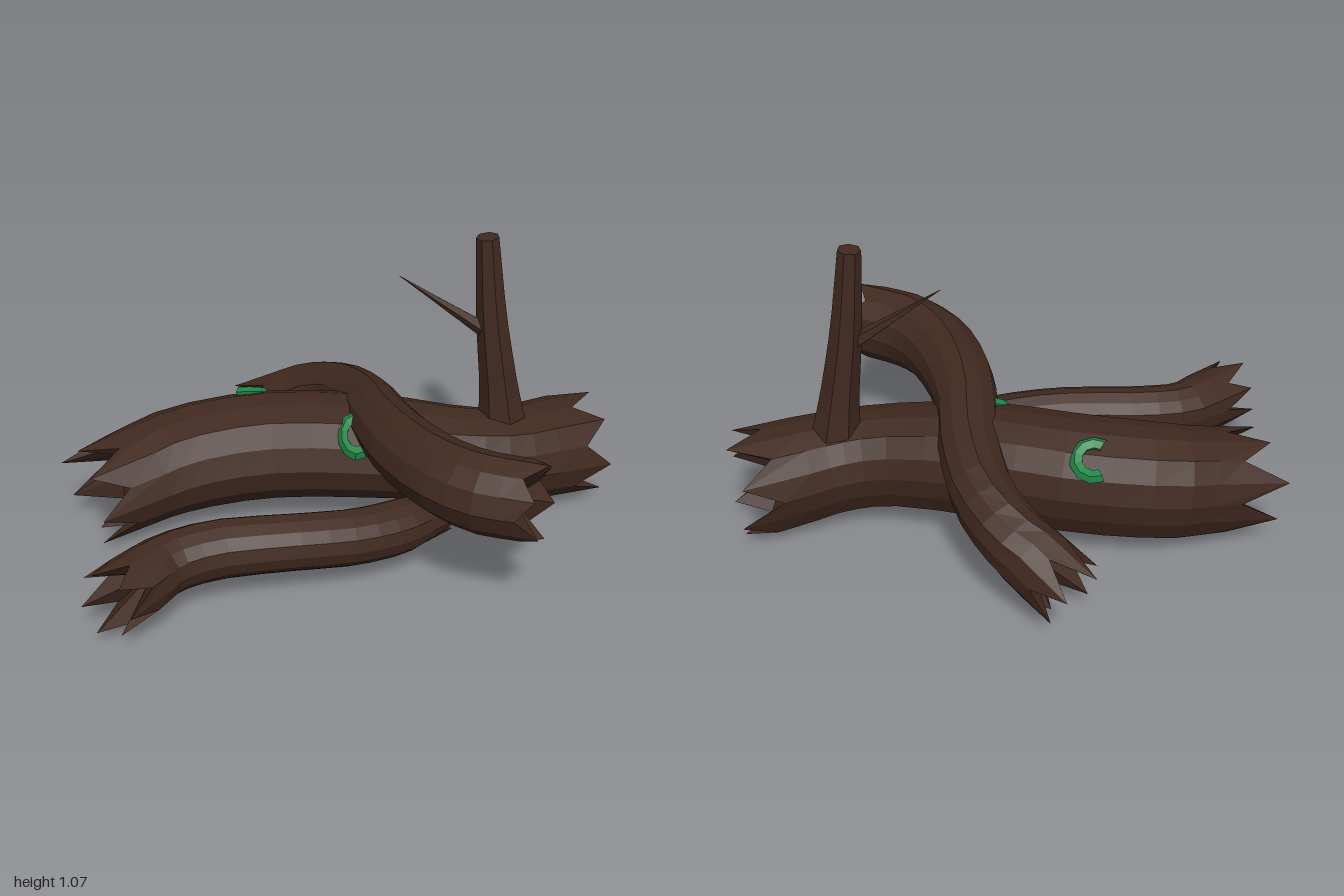
import * as THREE from 'three';

const bark = new THREE.MeshStandardMaterial({ color: 0x40291f, flatShading: true });
bark.name = 'bark';
const moss = new THREE.MeshStandardMaterial({ color: 0x1e8546, flatShading: true });
moss.name = 'moss green';

function seeded(seed) {
  return () => {
    seed = (seed * 16807) % 2147483647;
    return seed / 2147483647;
  };
}

const vec = (p) => new THREE.Vector3(...p);

// Faceted log swept along a curve. Ends are splintered by pushing rim corners outward;
// the inside is either a through hollow or a sunken point.
function log(name, { points, radii, sides = 12, rings = 14, startTeeth = 0, endTeeth = 0,
  startDent = 0, endDent = 0, hollow = 0, rough = 0.05, up = [0, 1, 0], seed = 7 }) {
  const rnd = seeded(seed);
  const curve = new THREE.CatmullRomCurve3(points.map(vec));
  const ref = vec(up);
  const bump = [], teethA = [], teethB = [];
  for (let i = 0; i < sides; i++) {
    bump.push(1 + (rnd() - 0.5) * 2 * rough);
    const tall = i % 2 === 1;
    teethA.push(tall ? 0.65 + 0.35 * rnd() : 0.3 * rnd());
    teethB.push(tall ? 0.65 + 0.35 * rnd() : 0.3 * rnd());
  }
  const radiusAt = (t) => {
    const f = t * (radii.length - 1), k = Math.min(Math.floor(f), radii.length - 2);
    return THREE.MathUtils.lerp(radii[k], radii[k + 1], f - k);
  };

  // Each row: curve position, radius scale, tooth length and set, shift along the curve
  const row = (t, scale, jag = 0, teeth = teethA, shift = 0) => ({ t, scale, jag, teeth, shift });
  const rows = [];
  for (let r = 0; r <= rings; r++) {
    const jag = r === 0 ? -startTeeth : r === rings ? endTeeth : 0;
    rows.push(row(r / rings, 1, jag, r === 0 ? teethA : teethB));
  }
  if (hollow) {
    for (let r = rings; r >= 0; r--) rows.push(row(r / rings, hollow));
    rows.push(rows[0]);
  } else {
    rows.unshift(row(0, 0, 0, teethA, startDent));
    rows.push(row(1, 0, 0, teethB, -endDent));
  }

  const pos = [], index = [];
  rows.forEach(({ t, scale, jag, teeth, shift }) => {
    const c = curve.getPoint(t), T = curve.getTangent(t);
    const S = new THREE.Vector3().crossVectors(ref, T).normalize();
    const N = new THREE.Vector3().crossVectors(T, S);
    for (let i = 0; i < sides; i++) {
      const a = (i / sides) * Math.PI * 2, rad = radiusAt(t) * scale * bump[i];
      const p = c.clone()
        .addScaledVector(S, Math.cos(a) * rad)
        .addScaledVector(N, Math.sin(a) * rad)
        .addScaledVector(T, jag * teeth[i] + shift);
      pos.push(p.x, p.y, p.z);
    }
  });
  for (let r = 0; r < rows.length - 1; r++) {
    for (let i = 0; i < sides; i++) {
      const j = (i + 1) % sides;
      const a = r * sides + i, b = r * sides + j, c = a + sides, d = b + sides;
      if (rows[r].scale > 0) index.push(a, b, c);
      if (rows[r + 1].scale > 0) index.push(b, d, c);
    }
  }
  let geo = new THREE.BufferGeometry();
  geo.setAttribute('position', new THREE.Float32BufferAttribute(pos, 3));
  geo.setIndex(index);
  geo = geo.toNonIndexed();
  geo.computeVertexNormals();
  const mesh = new THREE.Mesh(geo, bark);
  mesh.name = name;
  return mesh;
}

// C-shaped curl of moss; middle is the angle of the closed side
function mossCurl(name, position, tilt, middle, stretch) {
  const arc = 4.1;
  const geo = new THREE.TorusGeometry(0.055, 0.022, 5, 7, arc);
  geo.rotateZ(middle - arc / 2);
  geo.scale(...stretch);
  const mesh = new THREE.Mesh(geo, moss);
  mesh.name = name;
  mesh.position.set(...position);
  mesh.rotation.x = tilt;
  return mesh;
}

export function createModel() {
  const model = new THREE.Group();
  model.name = 'fallenLogs';

  // Large hollow log lying along x
  model.add(log('mainLog', {
    points: [[-0.77, 0.195, -0.03], [-0.6, 0.225, -0.1], [-0.3, 0.255, -0.135], [0.05, 0.265, -0.095],
      [0.4, 0.235, -0.06], [0.58, 0.21, -0.085], [0.765, 0.19, -0.165]],
    radii: [0.178, 0.195, 0.2, 0.195, 0.175, 0.175, 0.188],
    sides: 14, startTeeth: 0.21, endTeeth: 0.185, hollow: 0.72, seed: 11,
  }));

  // Thinner log in front
  model.add(log('frontLog', {
    points: [[-0.735, 0.165, 0.575], [-0.64, 0.17, 0.475], [-0.48, 0.18, 0.415], [-0.2, 0.18, 0.385],
      [0, 0.165, 0.345], [0.15, 0.155, 0.28], [0.26, 0.15, 0.2]],
    radii: [0.118, 0.107, 0.105, 0.1, 0.1, 0.1, 0.085],
    sides: 14, startTeeth: 0.17, endTeeth: 0.12, startDent: 0.08, endDent: 0.06, seed: 23,
  }));

  // Log resting across the other two
  model.add(log('crossingLog', {
    points: [[-0.2, 0.185, -0.585], [-0.1, 0.25, -0.535], [0.01, 0.315, -0.41], [0.085, 0.375, -0.2],
      [0.12, 0.415, 0], [0.18, 0.425, 0.2], [0.28, 0.43, 0.39], [0.4, 0.43, 0.51], [0.53, 0.43, 0.565]],
    radii: [0.125, 0.115, 0.11, 0.11, 0.11, 0.125, 0.135, 0.142, 0.14],
    startTeeth: 0.18, endTeeth: 0.09, startDent: 0.06, endDent: 0.04, rings: 18, seed: 5,
  }));

  // Upright stem growing from the main log
  model.add(log('stem', {
    points: [[0.57, 0.3, -0.105], [0.545, 0.5, -0.105], [0.51, 0.76, -0.108], [0.484, 1.06, -0.112]],
    radii: [0.095, 0.07, 0.056, 0.041], sides: 7, rings: 8, rough: 0.02, up: [0, 0, 1],
  }));

  // Pointed twig on the stem
  model.add(log('twig', {
    points: [[0.51, 0.695, -0.105], [0.36, 0.8, -0.107], [0.185, 0.925, -0.108]],
    radii: [0.032, 0.016, 0.001], sides: 5, rings: 3, rough: 0,
  }));

  // Moss curls
  model.add(mossCurl('backMoss', [-0.35, 0.395, -0.268], -Math.PI / 2 - 0.62, 0, [1.1, 1.1, 0.9]));
  model.add(mossCurl('frontMoss', [0.025, 0.385, 0.045], -0.8, Math.PI, [0.85, 1.15, 1.1]));

  return model;
}
